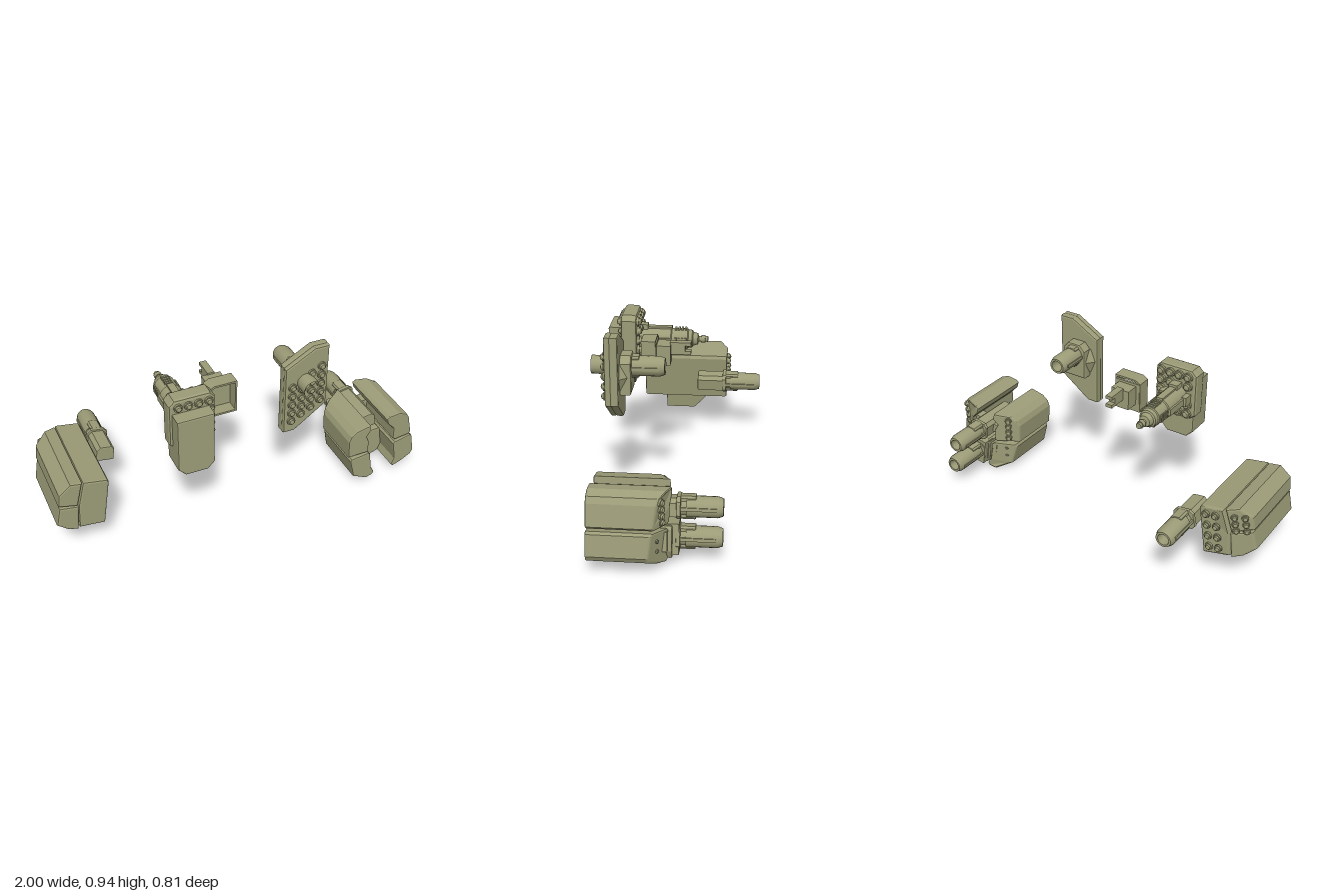
import * as THREE from 'three';
import { toCreasedNormals } from 'three/addons/utils/BufferGeometryUtils.js';

export function createModel() {
  const olive = new THREE.MeshStandardMaterial({ color: 0x9c9c78 });
  olive.name = 'olive drab';
  const UP = new THREE.Vector3(0, 1, 0);
  const model = new THREE.Group();
  model.name = 'weaponSet';

  const group = (name, parent = model) => {
    const g = new THREE.Group();
    g.name = name;
    parent.add(g);
    return g;
  };
  const add = (parent, name, geo, x = 0, y = 0, z = 0) => {
    const m = new THREE.Mesh(geo, olive);
    m.name = name;
    m.position.set(x, y, z);
    parent.add(m);
    return m;
  };
  const box = (parent, name, x0, x1, y0, y1, z0, z1) =>
    add(parent, name, new THREE.BoxGeometry(x1 - x0, y1 - y0, z1 - z0),
      (x0 + x1) / 2, (y0 + y1) / 2, (z0 + z1) / 2);

  // Outline extruded along z with bevelled rims; rear(x, y) pushes the back end forward
  const prism = (parent, name, pts, z0, z1, bevel = 0.01, rear = null, hole = null) => {
    const shape = new THREE.Shape(pts.map(p => new THREE.Vector2(...p)));
    if (hole) shape.holes.push(new THREE.Path(hole.map(p => new THREE.Vector2(...p))));
    const geo = new THREE.ExtrudeGeometry(shape, {
      depth: z1 - z0 - 2 * bevel, bevelEnabled: bevel > 0, bevelThickness: bevel,
      bevelSize: bevel, bevelOffset: -bevel, bevelSegments: 2,
    });
    geo.translate(0, 0, z0 + bevel);
    if (rear) {
      const p = geo.attributes.position;
      for (let i = 0; i < p.count; i++) {
        if (p.getZ(i) < (z0 + z1) / 2) p.setZ(i, p.getZ(i) + rear(p.getX(i), p.getY(i)));
      }
      geo.computeVertexNormals();
    }
    return add(parent, name, geo);
  };

  // Turned part whose axis runs along z; profile rows are [radius, z]
  const turned = (profile, sides = 20) => {
    const geo = new THREE.LatheGeometry(profile.map(p => new THREE.Vector2(...p)), sides);
    return toCreasedNormals(geo, 0.6).rotateX(Math.PI / 2);
  };

  // Rocket nose in its tube ring
  const rocketGeo = toCreasedNormals(new THREE.LatheGeometry(
    [[0.022, 0], [0.022, 0.012], [0.016, 0.012], [0.013, 0.021], [0, 0.026]]
      .map(p => new THREE.Vector2(...p)), 12), 0.6);
  const rocket = (parent, x, y, z, dir, size = 1) => {
    const m = add(parent, 'rocket', rocketGeo, x, y, z);
    m.quaternion.setFromUnitVectors(UP, new THREE.Vector3(...dir).normalize());
    m.scale.setScalar(size);
  };

  // Cannon: muzzle at local z = 0, breech toward +z
  const cannon = (parent, x, y, zMuzzle, length, tilt) => {
    const g = group('cannon', parent);
    g.position.set(x, y, zMuzzle);
    g.rotation.z = tilt;
    add(g, 'barrel', turned([[0, 0.06], [0.027, 0.06], [0.03, 0], [0.041, 0], [0.05, 0.025],
      [0.05, 0.17], [0.044, 0.17], [0.044, 0.21], [0, 0.21]]));
    for (const s of [-1, 1]) {
      // Jacket blocks above and below, rails at the sides
      prism(g, 'barrelJacket', [[-0.03, s * 0.02], [0.03, s * 0.02], [0.03, s * 0.045], [0.022, s * 0.055],
        [-0.022, s * 0.055], [-0.03, s * 0.045]], 0.125, 0.2, 0.006);
      box(g, 'sideRail', s * 0.05 - 0.004, s * 0.05 + 0.004, -0.008, 0.008, 0.03, 0.2);
    }
    prism(g, 'collar', [[-0.06, -0.03], [-0.04, -0.05], [0.04, -0.05], [0.06, -0.03],
      [0.055, 0.035], [0.035, 0.055], [-0.035, 0.055], [-0.055, 0.035]], 0.195, 0.215, 0.004);
    prism(g, 'breech', [[-0.048, -0.04], [0.048, -0.04], [0.048, 0.025], [0.03, 0.045],
      [-0.03, 0.045], [-0.048, 0.025]], 0.205, length, 0.006);
    return g;
  };

  // Rocket pod with slanted outer rear
  const pod = group('rocketPod');
  const podRear = x => Math.max(0, (-0.84 - x) * 0.53);
  prism(pod, 'upperFairing', [[-0.98, 0.36], [-0.972, 0.43], [-0.912, 0.478], [-0.853, 0.467], [-0.885, 0.335]],
    -0.215, 0.275, 0.01, podRear);
  prism(pod, 'lowerFairing', [[-0.998, 0.245], [-0.977, 0.347], [-0.88, 0.33], [-0.893, 0.185], [-0.945, 0.2]],
    -0.215, 0.275, 0.01, podRear);
  prism(pod, 'mainHousing', [[-0.848, 0.47], [-0.728, 0.448], [-0.72, 0.43], [-0.757, 0.18], [-0.888, 0.195], [-0.882, 0.33]],
    -0.215, 0.275, 0.01, podRear);
  for (let r = 0; r < 4; r++) for (let c = 0; c < 2; c++) {
    rocket(pod, -0.808 + c * 0.05 - r * 0.01, 0.42 - c * 0.008 - r * 0.06, -0.214, [0, 0, -1], 0.9);
  }
  for (let r = 0; r < 3; r++) for (let c = 0; c < 2; c++) {
    const x = -0.938 + c * 0.045 - r * 0.006;
    rocket(pod, x, 0.428 - r * 0.038, -0.214 + podRear(x), [-0.47, 0, -0.88], 0.8);
  }
  prism(pod, 'mountFin', [[-0.86, 0.2], [-0.782, 0.19], [-0.795, 0.09], [-0.868, 0.103]],
    -0.12, 0.15, 0.005, (x, y) => (0.2 - y) * 0.9);

  // Loose cannon beside the pod
  cannon(model, -0.64, 0.33, -0.41, 0.36, -0.15).name = 'looseCannon';

  // Spire gun with rocket plate and front shield
  const spire = group('spireGun');
  prism(spire, 'rocketPlate', [[-0.422, 0.6], [-0.422, 0.83], [-0.395, 0.858], [-0.21, 0.858], [-0.185, 0.83],
    [-0.185, 0.58], [-0.2, 0.565], [-0.39, 0.575]], 0.25, 0.335, 0.015);
  prism(spire, 'frontShield', [[-0.408, 0.785], [-0.218, 0.785], [-0.218, 0.495], [-0.255, 0.457],
    [-0.37, 0.457], [-0.408, 0.495]], 0.265, 0.405, 0.008);
  for (let c = 0; c < 4; c++) {
    const x = -0.377 + c * 0.052;
    rocket(spire, x, 0.818, 0.333, [0, 0, 1]);
    rocket(spire, -0.205, 0.77 - c * 0.045, 0.333, [0, 0, 1], 0.7);
    for (let r = 0; r < 5; r++) {
      const y = 0.82 - r * 0.053;
      if (Math.hypot(x + 0.315, y - 0.7) > 0.07) rocket(spire, x, y, 0.252, [0, 0, -1], 1.15);
    }
  }
  add(spire, 'spireBarrel', turned([[0, -0.125], [0.015, -0.125], [0.015, -0.11], [0.02, -0.11], [0.02, -0.088],
    [0.014, -0.088], [0.014, -0.075], [0.03, -0.07], [0.038, -0.045], [0.047, -0.04], [0.05, -0.02],
    [0.055, -0.015], [0.055, 0.07], [0.06, 0.075], [0.06, 0.255], [0, 0.255]]), -0.315, 0.7, 0);
  for (let i = 0; i < 4; i++) {
    const rib = group('barrelRib', spire);
    rib.position.set(-0.315, 0.7, 0);
    rib.rotation.z = i * Math.PI / 2;
    box(rib, 'rib', 0.045, 0.067, -0.018, 0.018, 0.07, 0.22);
    box(rib, 'ribFoot', 0.05, 0.08, -0.025, 0.025, 0.2, 0.255);
    for (let j = 0; j < 4; j++) box(rib, 'coolingBlock', 0.045, 0.06, -0.02, 0.02, -0.01 + j * 0.018, 0.001 + j * 0.018);
  }

  // Hollow bracket with a stepped rear
  const bracket = group('bracket');
  prism(bracket, 'bracketFrame', [[-0.165, 0.6], [-0.013, 0.6], [-0.013, 0.782], [-0.135, 0.782], [-0.165, 0.765]],
    0.13, 0.205, 0, null, [[-0.155, 0.61], [-0.023, 0.61], [-0.023, 0.772], [-0.132, 0.772], [-0.155, 0.759]]);
  box(bracket, 'bracketBack', -0.162, -0.016, 0.603, 0.763, 0.127, 0.14);
  box(bracket, 'bracketStep', -0.142, -0.04, 0.645, 0.75, 0.055, 0.13);
  box(bracket, 'bracketArm', -0.11, -0.073, 0.695, 0.76, -0.02, 0.06);
  for (const y of [0.695, 0.742]) box(bracket, 'armFork', -0.11, -0.073, y, y + 0.018, 0.05 - 0.1, -0.02);

  // Angular rocket shield with a cannon through it
  const shield = group('rocketShield');
  const outline = [[0.19, 0.862], [0.345, 0.95], [0.424, 0.95], [0.424, 0.602], [0.252, 0.478], [0.19, 0.478]];
  prism(shield, 'shieldRear', outline, 0.26, 0.302, 0.01);
  prism(shield, 'shieldFront', outline, 0.296, 0.328, 0.01);
  for (let c = 0; c < 4; c++) for (let r = 0; r < 5; r++) {
    rocket(shield, 0.228 + c * 0.052, 0.752 + c * 0.03 - r * 0.051, 0.325, [0, 0, 1]);
  }
  add(shield, 'rearMount', turned([[0, 0.21], [0.06, 0.21], [0.1, 0.262]], 8), 0.3, 0.73, 0);
  prism(shield, 'mountBlock', [[0.235, 0.64], [0.37, 0.64], [0.37, 0.8], [0.34, 0.835], [0.265, 0.835], [0.235, 0.8]],
    0.205, 0.265, 0.01);
  cannon(shield, 0.3, 0.77, 0.045, 0.22, 0);
  add(shield, 'frontTube', new THREE.CylinderGeometry(0.046, 0.046, 0.08, 16, 1, true).rotateX(Math.PI / 2),
    0.3, 0.77, 0.365);

  // Twin cannon surrounded by four armoured pods
  const twin = group('twinCannon');
  const tilt = 0.17;
  cannon(twin, 0.777, 0.273, -0.27, 0.47, tilt);
  cannon(twin, 0.802, 0.13, -0.27, 0.4, tilt);
  const twinRear = x => Math.max(0, Math.abs(x - 0.787) - 0.06) * 0.62;
  const fairings = {
    upperRightFairing: [[0.585, 0.19], [0.58, 0.295], [0.592, 0.325], [0.625, 0.352], [0.705, 0.37], [0.71, 0.335],
      [0.688, 0.3], [0.704, 0.265], [0.706, 0.2], [0.695, 0.193]],
    upperLeftFairing: [[0.803, 0.38], [0.82, 0.393], [0.88, 0.4], [0.925, 0.383], [0.943, 0.355], [0.967, 0.25],
      [0.955, 0.236], [0.868, 0.225], [0.855, 0.238], [0.853, 0.305], [0.815, 0.345]],
    lowerRightFairing: [[0.6, 0.155], [0.608, 0.168], [0.71, 0.182], [0.722, 0.17], [0.738, 0.07], [0.757, 0.035],
      [0.75, 0.018], [0.71, 0.005], [0.628, 0.045]],
    lowerLeftFairing: [[0.862, 0.195], [0.872, 0.207], [0.965, 0.228], [0.978, 0.218], [0.998, 0.115], [0.985, 0.088],
      [0.93, 0.055], [0.878, 0.035], [0.865, 0.05], [0.88, 0.09]],
  };
  for (const [name, pts] of Object.entries(fairings)) prism(twin, name, pts, -0.035, 0.343, 0.008, twinRear);
  prism(twin, 'centreHousing', [[0.733, 0.187], [0.745, 0.198], [0.855, 0.208], [0.866, 0.195], [0.88, 0.09],
    [0.862, 0.045], [0.8, 0.025], [0.762, 0.04], [0.748, 0.08]], -0.04, 0.2, 0.008);
  const cradle = group('cradle', twin);
  cradle.position.set(0.802, 0.13, 0);
  cradle.rotation.z = tilt;
  box(cradle, 'cradlePlate', -0.1, 0.1, -0.045, 0.05, -0.02, 0.06);
  box(cradle, 'cradleCollar', -0.055, 0.055, -0.075, 0.075, -0.07, 0);
  box(cradle, 'upperCradle', -0.095, 0.095, 0.12, 0.17, 0, 0.06);
  // Rockets and bolts on the slanted pod rears
  for (let i = 0; i < 4; i++) {
    rocket(twin, 0.915 - 0.004 * i, 0.36 - i * 0.035, -0.035 + twinRear(0.915), [0.53, 0, -0.85], 0.85);
    rocket(twin, 0.635, 0.33 - i * 0.037, -0.035 + twinRear(0.635), [-0.53, 0, -0.85], 0.85);
  }
  for (const y of [0.175, 0.125]) {
    rocket(twin, 0.94, y, -0.035 + twinRear(0.94), [0.53, 0, -0.85], 0.45);
    rocket(twin, 0.65, y - 0.03, -0.035 + twinRear(0.65), [-0.53, 0, -0.85], 0.45);
  }
  return model;
}
